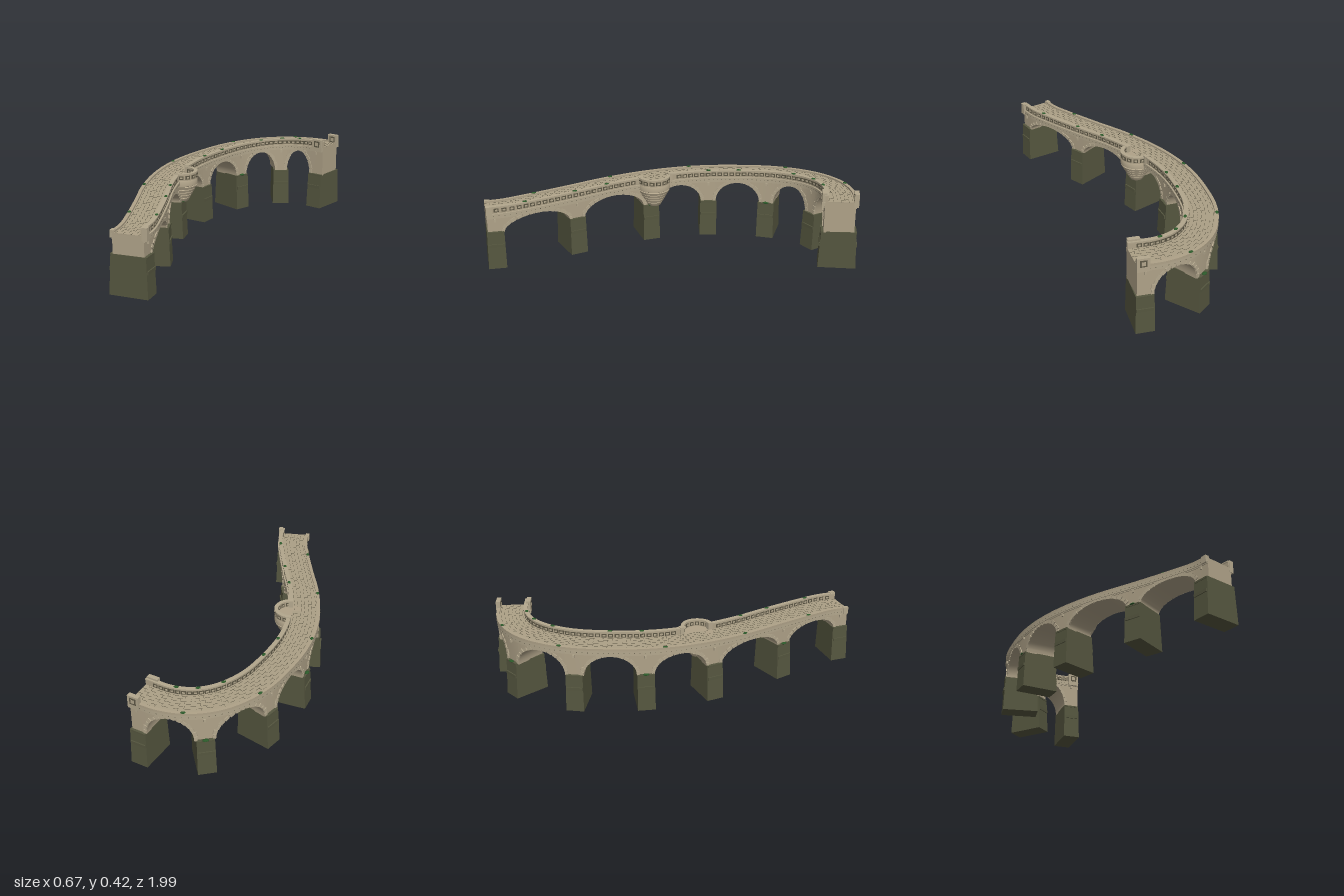
import * as THREE from 'three';
import { mergeGeometries, toCreasedNormals } from 'three/addons/utils/BufferGeometryUtils.js';

export function createModel() {
  const model = new THREE.Group();
  const mat = (name, color) => Object.assign(new THREE.MeshStandardMaterial({ color }), { name });
  const stone = mat('tan stone', 0xafa288);
  const trim = mat('trim stone', 0xb3a78d);
  const paving = mat('paving stone', 0xaca086);
  const foundation = mat('dark foundation', 0x55563f);
  const shadowStone = mat('dark recess', 0x5e5846);
  const moss = mat('moss green', 0x2c5a2a);

  // Centre line of the bridge, from the front end to the back end
  const path = new THREE.CatmullRomCurve3([
    [0.236, 0.967], [0.208, 0.865], [0.15, 0.745], [0.032, 0.53], [-0.08, 0.335], [-0.17, 0.13],
    [-0.22, -0.05], [-0.238, -0.2], [-0.235, -0.35], [-0.208, -0.55], [-0.16, -0.68], [-0.09, -0.785],
    [0.01, -0.86], [0.13, -0.893], [0.275, -0.887],
  ].map(([x, z]) => new THREE.Vector3(x, 0, z)), false, 'centripetal');
  path.arcLengthDivisions = 600;
  const L = path.getLength();
  const deckY = u => 0.305 + 0.065 * u;
  const UP = new THREE.Vector3(0, 1, 0);
  const sideways = u => path.getTangentAt(u).cross(UP).normalize();
  const at = (u, off, y) => path.getPointAt(u).addScaledVector(sideways(u), off).setY(y);
  const nearest = (x, z) => {
    let best = 0, dist = 9;
    for (let i = 0; i <= 400; i++) {
      const p = path.getPointAt(i / 400), d = Math.hypot(p.x - x, p.z - z);
      if (d < dist) { dist = d; best = i / 400; }
    }
    return best;
  };
  const range = (a, b, n) => Array.from({ length: n + 1 }, (_, i) => a + (b - a) * i / n);

  // Sweep a convex profile (sideways offset, height) along the path
  const sweep = (us, profile) => {
    const pos = [], idx = [];
    const n = profile(us[0]).length, last = (us.length - 1) * n;
    us.forEach(u => profile(u).forEach(([o, y]) => pos.push(...at(u, o, y).toArray())));
    for (let i = 0; i < us.length - 1; i++) for (let j = 0; j < n; j++) {
      const a = i * n + j, b = i * n + (j + 1) % n;
      idx.push(a, a + n, b, b, a + n, b + n);
    }
    for (let j = 1; j < n - 1; j++) idx.push(0, j, j + 1, last, last + j + 1, last + j);
    const g = new THREE.BufferGeometry();
    g.setAttribute('position', new THREE.Float32BufferAttribute(pos, 3));
    g.setIndex(idx);
    return toCreasedNormals(g, 0.6);
  };
  // Rectangular strip; heights are measured from the deck
  const strip = (us, o0, o1, y0, y1) => sweep(us, u => {
    const d = deckY(u);
    return [[o0, d + y0], [o1, d + y0], [o1, d + y1], [o0, d + y1]];
  });
  // Place a geometry on the path: its x runs along, its z runs to the right side
  const place = (g, u, off, y) => {
    const t = path.getTangentAt(u), m = new THREE.Matrix4().makeBasis(t, UP, sideways(u));
    return g.applyMatrix4(m.setPosition(at(u, off, y)));
  };
  const box = (u, off, y, l, h, w, tilt = 0) => place(new THREE.BoxGeometry(l, h, w).rotateZ(tilt), u, off, y);
  const add = (name, material, ...geos) => {
    const clean = geos.map(g => {
      const c = g.index ? g.toNonIndexed() : g;
      c.deleteAttribute('uv');
      return c;
    });
    const mesh = new THREE.Mesh(mergeGeometries(clean), material);
    mesh.name = name;
    model.add(mesh);
  };

  // Pier positions and the arches between them
  const SPRING = 0.2, half = 0.044 / L;
  const piers = [0.042 / L, nearest(0.04, 0.536), nearest(-0.17, 0.14), nearest(-0.238, -0.21),
    nearest(-0.2, -0.555), nearest(-0.04, -0.835), 1 - 0.042 / L];
  const arches = piers.slice(1).map((p, i) => {
    const a = piers[i] + half, b = p - half, mid = (a + b) / 2;
    return { mid, r: (b - a) / 2, rise: deckY(mid) - 0.034 - SPRING };
  });
  const underside = u => {
    const a = arches.find(k => Math.abs(u - k.mid) < k.r);
    return a ? SPRING + a.rise * Math.sqrt(1 - ((u - a.mid) / a.r) ** 2) : SPRING;
  };
  const bodyUs = [0];
  arches.forEach(a => range(Math.PI, 0, 32).forEach(t => bodyUs.push(a.mid + a.r * Math.cos(t))));
  bodyUs.push(1);
  add('archedBody', stone, sweep(bodyUs, u => {
    const b = underside(u), d = deckY(u);
    return [[-0.08, b], [0.08, b], [0.08, d], [-0.08, d]];
  }));

  // Ring of wedge stones on both faces of every arch
  const rings = [];
  arches.forEach(a => {
    const A = a.r * L, B = a.rise, n = 15;
    for (let i = 0; i < n; i++) {
      const t = Math.PI * (i + 0.5) / n, c = Math.cos(t), s = Math.sin(t);
      const tilt = Math.atan2(s / B, c / A) - Math.PI / 2;
      const len = Math.hypot(A * s, B * c) * Math.PI / n * 0.93;
      const h = i % 2 ? 0.02 : 0.016;
      const u = a.mid + (A * c - Math.sin(tilt) * h / 2) / L;
      const y = SPRING + B * s + Math.cos(tilt) * h / 2;
      for (const side of [-1, 1]) rings.push(box(u, side * 0.08, y, len, h, 0.01, tilt));
    }
  });
  add('archStones', trim, ...rings);

  // Tapered piers with a band and a ledge on each end
  const pierGeos = [], drips = [];
  piers.forEach(p => {
    const g = new THREE.BoxGeometry(0.09, 0.205, 0.182), v = g.attributes.position;
    for (let i = 0; i < v.count; i++) {
      if (v.getY(i) < 0) v.setXYZ(i, v.getX(i) * 1.06, v.getY(i), v.getZ(i) * 1.1);
    }
    g.computeVertexNormals();
    pierGeos.push(place(g, p, 0, 0.1025));
    for (const side of [-1, 1]) {
      pierGeos.push(box(p, side * 0.092, 0.129, 0.084, 0.017, 0.016));
      pierGeos.push(box(p, side * 0.088, 0.2, 0.08, 0.01, 0.012));
      drips.push(box(p, side * 0.082, deckY(p) - 0.038, 0.01, 0.016, 0.012));
    }
  });
  add('pier', foundation, ...pierGeos);
  add('drainSpouts', trim, ...drips);

  // Deck, cornices and the low left kerb
  const all = range(0, 1, 140);
  add('deck', paving, strip(all, -0.072, 0.064, -0.004, 0.003));
  add('cornice', trim,
    strip(all, -0.088, -0.076, -0.022, 0), strip(all, 0.076, 0.088, -0.022, 0),
    strip(all, -0.084, -0.076, -0.028, -0.022), strip(all, 0.076, 0.084, -0.028, -0.022));
  add('leftKerb', stone, strip(all, -0.088, -0.07, 0, 0.012));
  const dots = [];
  for (let i = 0; i < 90; i++) {
    const u = (i + 0.5) / 90;
    for (const side of [-1, 1]) dots.push(box(u, side * 0.088, deckY(u) - 0.012, 0.004, 0.003, 0.002));
  }
  add('corniceNotches', shadowStone, ...dots);

  // Paving joints
  const joints = [];
  for (let row = 0; row < 7; row++) for (let i = 0; i < 46; i++) {
    const u = (i + 0.25 + 0.5 * (row % 2)) / 46, off = -0.062 + row * 0.0195;
    joints.push(box(u, off, deckY(u) + 0.003, 0.028, 0.002, 0.0018));
    if ((i + row) % 2) joints.push(box(u + 0.007, off + 0.009, deckY(u) + 0.003, 0.0018, 0.002, 0.014));
  }
  add('pavingJoints', shadowStone, ...joints);

  // Right parapet in two runs, either side of the lookout
  const look = new THREE.Vector3(-0.108, 0, 0.092), uLook = nearest(-0.18, 0.11);
  const runs = [[0, uLook - 0.083 / L], [uLook + 0.092 / L, 1]];
  const dark = [], cores = [];
  runs.forEach(([a, b]) => {
    const us = range(a, b, 70);
    add('rightParapet', stone, strip(us, 0.064, 0.08, 0, 0.032));
    add('parapetCap', trim, strip(us, 0.061, 0.084, 0.032, 0.039));
    const n = Math.round((b - a) * L / 0.035);
    for (let i = 1; i < n - 1; i++) {
      const u = a + (b - a) * (i + 0.5) / n, y = deckY(u) + 0.017;
      for (const off of [0.064, 0.08]) {
        dark.push(box(u, off, y, 0.026, 0.02, 0.003));
        cores.push(box(u, off, y, 0.014, 0.009, 0.006));
      }
    }
  });

  // Round lookout on stepped corbels
  const dL = deckY(uLook), N = sideways(uLook), phi = Math.atan2(N.x, N.z);
  const lathe = (pts, start = 0, len = Math.PI * 2) => toCreasedNormals(new THREE.LatheGeometry(
    pts.map(([r, y]) => new THREE.Vector2(r, y)), 40, start, len), 0.6).translate(look.x, 0, look.z);
  const steps = [[0, 0.2], [0.036, 0.2]];
  [0.042, 0.052, 0.062, 0.072, 0.082].forEach((r, i) =>
    steps.push([r, 0.208 + i * 0.018], [r + 0.005, 0.221 + i * 0.018], [r, 0.224 + i * 0.018]));
  steps.push([0.089, 0.3], [0.089, dL - 0.006], [0.084, dL + 0.002], [0, dL + 0.002]);
  add('lookoutCorbels', stone, lathe(steps));
  const ring = (r0, r1, y0, y1) => lathe([[r0, y0], [r1, y0], [r1, y1], [r0, y1], [r0, y0]], phi - 1.6, 3.2);
  add('lookoutParapet', stone, ring(0.072, 0.087, dL, dL + 0.032));
  add('lookoutCap', trim, ring(0.069, 0.09, dL + 0.032, dL + 0.039));
  for (let i = 0; i < 7; i++) {
    const a = phi - 1.26 + i * 0.42;
    const panel = (r, w, h, d) => new THREE.BoxGeometry(w, h, d).translate(0, 0, r)
      .rotateY(a).translate(look.x, dL + 0.017, look.z);
    dark.push(panel(0.087, 0.026, 0.02, 0.004), panel(0.072, 0.02, 0.02, 0.004));
    cores.push(panel(0.087, 0.013, 0.009, 0.007), panel(0.072, 0.01, 0.009, 0.007));
  }

  // End posts and lookout corner posts
  const posts = [], back = 1 - 0.031 / L, front = 0.014 / L;
  for (const side of [-1, 1]) {
    const y = deckY(1) + 0.011;
    posts.push(box(back, side * 0.083, y, 0.062, 0.073, 0.024));
    for (const face of [0.071, 0.095]) {
      dark.push(box(back, side * face, y + 0.008, 0.036, 0.036, 0.003));
      cores.push(box(back, side * face, y + 0.008, 0.02, 0.02, 0.006));
    }
  }
  posts.push(box(front, 0.083, deckY(0) + 0.01, 0.03, 0.066, 0.026));
  posts.push(box(front, -0.083, deckY(0) - 0.004, 0.03, 0.038, 0.02));
  posts.push(box(runs[0][1], 0.074, deckY(runs[0][1]) + 0.021, 0.024, 0.044, 0.026));
  posts.push(box(runs[1][0], 0.074, deckY(runs[1][0]) + 0.021, 0.024, 0.044, 0.026));
  add('posts', trim, ...posts);
  add('panelRecesses', shadowStone, ...dark);
  add('panelCentres', trim, ...cores);

  // Moss tufts on the walls and pier ledges
  const tufts = [];
  const tuft = (u, off, y, r = 0.011) => tufts.push(
    place(new THREE.IcosahedronGeometry(r, 1).scale(1.2, 0.35, 0.8), u, off, y));
  [[0.11, -0.8], [0.02, -0.76], [-0.07, -0.67], [-0.15, -0.38], [-0.145, -0.21], [0.02, 0.34], [0.12, 0.5],
    [0.25, 0.75]].forEach(([x, z]) => { const u = nearest(x, z); tuft(u, 0.074, deckY(u) + 0.04); });
  [[0, -0.96], [-0.27, -0.65], [-0.315, -0.1], [-0.17, 0.345], [0.05, 0.74]]
    .forEach(([x, z]) => { const u = nearest(x, z); tuft(u, -0.08, deckY(u) + 0.013); });
  piers.slice(1, 6).forEach((p, i) => tuft(p, i % 2 ? 0.09 : -0.09, 0.206, 0.014));
  add('moss', moss, ...tufts);
  return model;
}
